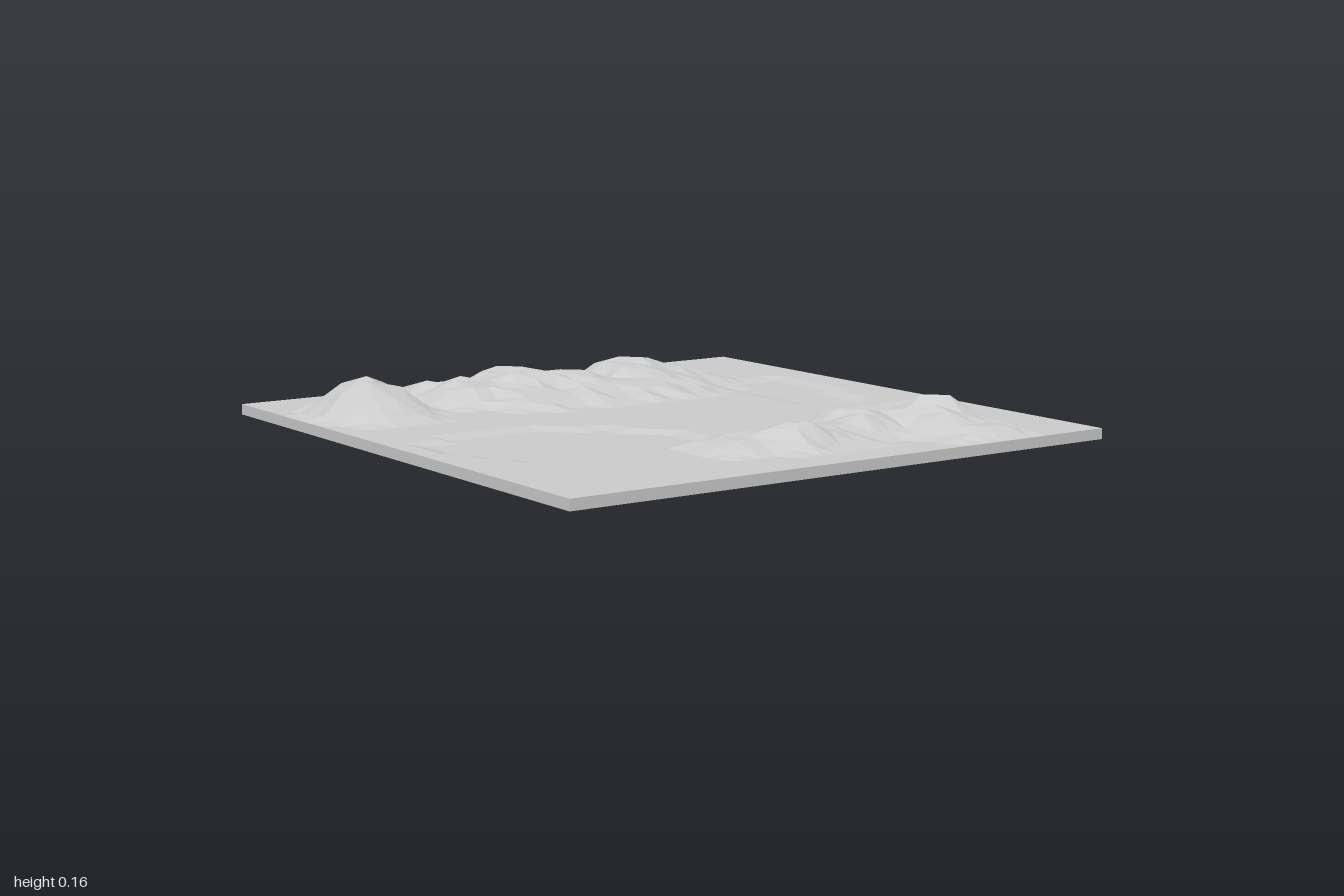
import * as THREE from 'three';

const CELLS = 33, BASE = 0.035, BASIN_DEPTH = 0.012;

// Flat-topped hills: centre x, centre z, reach left, right, back, front, rise, summit share
const hills = [
  // front peak
  [-0.53, 0.79, 0.23, 0.23, 0.23, 0.17, 0.125, 0.26],
  [-0.54, 0.76, 0.25, 0.27, 0.2, 0.15, 0.04, 0.5],
  // left range, back to front
  [-0.6, -0.25, 0.22, 0.27, 0.4, 0.16, 0.093, 0.25],
  [-0.45, -0.2, 0.3, 0.24, 0.3, 0.25, 0.05, 0.35],
  [-0.64, -0.5, 0.22, 0.3, 0.16, 0.2, 0.03, 0.5],
  [-0.56, -0.02, 0.24, 0.32, 0.2, 0.2, 0.072, 0.35],
  [-0.63, 0.15, 0.28, 0.24, 0.18, 0.14, 0.082, 0.5],
  [-0.55, 0.22, 0.36, 0.3, 0.2, 0.2, 0.045, 0.45],
  [-0.62, 0.36, 0.22, 0.22, 0.2, 0.17, 0.066, 0.4],
  [-0.7, 0.42, 0.25, 0.26, 0.12, 0.12, 0.04, 0.5],
  // right range, back to front
  [0.73, -0.53, 0.24, 0.18, 0.23, 0.17, 0.1, 0.25],
  [0.62, -0.56, 0.23, 0.25, 0.2, 0.2, 0.065, 0.45],
  [0.86, -0.62, 0.2, 0.14, 0.15, 0.22, 0.035, 0.5],
  [0.62, -0.3, 0.2, 0.17, 0.2, 0.12, 0.067, 0.5],
  [0.68, -0.12, 0.2, 0.16, 0.2, 0.18, 0.05, 0.4],
  [0.7, 0.02, 0.2, 0.14, 0.2, 0.13, 0.066, 0.45],
  [0.67, 0.18, 0.18, 0.15, 0.16, 0.16, 0.035, 0.45],
];

// Outlines of the shallow basins, as x, z corners
const basins = [
  [[-0.48, -0.85], [-0.13, -0.85], [-0.1, -0.79], [0.04, -0.79], [0.07, -0.73], [0.13, -0.7],
    [0.13, -0.56], [0.05, -0.52], [-0.22, -0.52], [-0.3, -0.57], [-0.48, -0.57]],
  [[0.25, 0.13], [0.5, 0.13], [0.52, 0.25], [0.46, 0.32], [0.47, 0.55], [0.52, 0.62], [0.47, 0.76],
    [0.37, 0.8], [0.27, 0.88], [0.03, 0.88], [-0.03, 0.78], [-0.06, 0.6], [-0.05, 0.46],
    [0.01, 0.4], [0.07, 0.28], [0.15, 0.22]],
];

function inside(x, z, outline) {
  let hit = false;
  outline.forEach(([ax, az], i) => {
    const [bx, bz] = outline[(i + 1) % outline.length];
    if ((az > z) !== (bz > z) && x < ax + ((z - az) * (bx - ax)) / (bz - az)) hit = !hit;
  });
  return hit;
}

function groundHeight(x, z) {
  if (Math.max(Math.abs(x), Math.abs(z)) > 0.99) return BASE;
  let rise = 0;
  for (const [cx, cz, left, right, back, front, height, summit] of hills) {
    const dx = Math.abs(x - cx) / (x < cx ? left : right);
    const dz = Math.abs(z - cz) / (z < cz ? back : front);
    const d = Math.cbrt(dx ** 3 + dz ** 3);
    rise = Math.max(rise, height * THREE.MathUtils.clamp((1 - d) / (1 - summit), 0, 1));
  }
  if (rise > 0.004) {
    // slight ruggedness, settled onto small terraces
    const rough = 1 + 0.1 * Math.sin(x * 37 + 2 * Math.sin(z * 23));
    return BASE + Math.min(0.125, Math.round((rise * rough) / 0.0125) * 0.0125);
  }
  return basins.some((outline) => inside(x, z, outline)) ? BASE - BASIN_DEPTH : BASE;
}

export function createModel() {
  const model = new THREE.Group();
  model.name = 'terrainTile';

  // Slab whose upper surface is raised into hills and lowered into basins
  const geometry = new THREE.BoxGeometry(2, BASE, 2, CELLS, 1, CELLS);
  const position = geometry.attributes.position;
  for (let i = 0; i < position.count; i++) {
    const top = position.getY(i) > 0;
    position.setY(i, top ? groundHeight(position.getX(i), position.getZ(i)) : 0);
  }
  const faceted = geometry.toNonIndexed();
  faceted.computeVertexNormals();

  const terrain = new THREE.Mesh(
    faceted,
    new THREE.MeshStandardMaterial({ color: 0xcccccc, flatShading: true }),
  );
  terrain.name = 'terrainSlab';
  model.add(terrain);
  return model;
}
